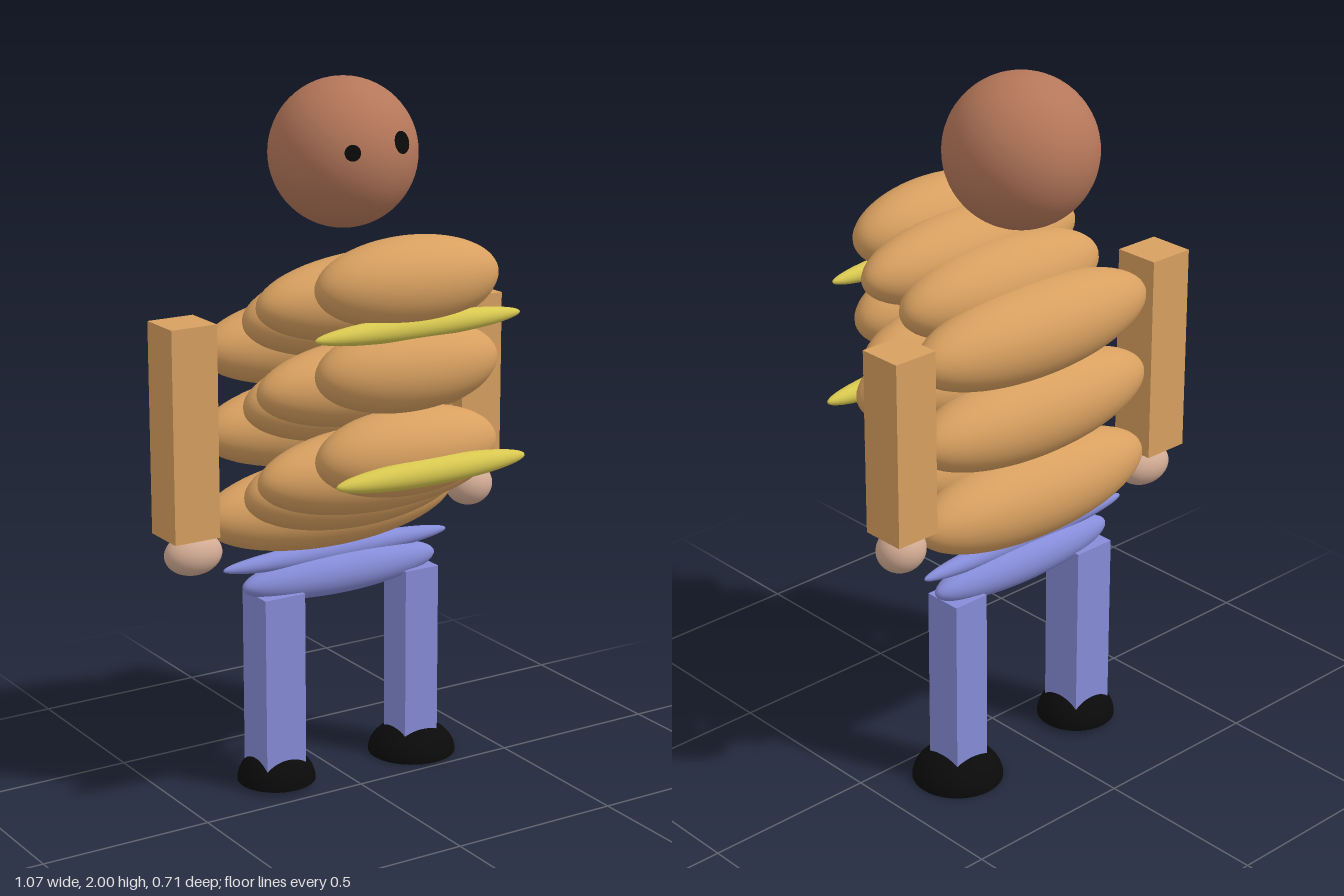
import * as THREE from 'three';

export function createModel() {
  const model = new THREE.Group();
  const mat = (name, color) => {
    const m = new THREE.MeshStandardMaterial({ color });
    m.name = name;
    return m;
  };
  const tan = mat('tan', 0xd8a060);
  const brown = mat('brown', 0xb5775a);
  const yellow = mat('yellow', 0xd8c850);
  const blue = mat('blue', 0x868cd8);
  const skin = mat('paleSkin', 0xd2ab94);
  const black = mat('black', 0x0a0a0a);
  const Z = -0.147; // plane shared by head, limbs and hips

  const add = (name, geometry, material, x, y, z) => {
    const mesh = new THREE.Mesh(geometry, material);
    mesh.name = name;
    mesh.position.set(x, y, z);
    model.add(mesh);
    return mesh;
  };
  const ellipsoid = (name, material, x, y, z, rx, ry, rz = ry) =>
    add(name, new THREE.SphereGeometry(1, 48, 32).scale(rx, ry, rz), material, x, y, z);
  const box = (name, material, x0, x1, y0, y1, depth) =>
    add(name, new THREE.BoxGeometry(x1 - x0, y1 - y0, depth), material, (x0 + x1) / 2, (y0 + y1) / 2, Z);

  // Head with two thin eye caps following its surface
  const head = { x: 0.035, y: 1.794, r: 0.206 };
  ellipsoid('head', brown, head.x, head.y, Z, head.r, head.r);
  for (const [name, dx, dy, size] of [['rightEye', -0.085, 0.03, 0.022], ['leftEye', 0.068, 0.046, 0.031]]) {
    const cap = new THREE.SphereGeometry(head.r + 0.002, 20, 6, 0, Math.PI * 2, 0, size / head.r);
    const eye = add(name, cap, black, head.x, head.y, Z);
    const dir = new THREE.Vector3(dx, dy, Math.sqrt(head.r ** 2 - dx * dx - dy * dy)).normalize();
    eye.quaternion.setFromUnitVectors(new THREE.Vector3(0, 1, 0), dir);
  }

  // Torso: three tiers of four rolls, each tier stepping down toward the back
  const columns = [
    { x: 0.018, z: 0.203, rx: 0.28, r: 0.121, y: [1.502, 1.27, 1.037] },
    { x: 0.004, z: 0.08, rx: 0.374, r: 0.122, y: [1.447, 1.212, 0.965] },
    { x: 0.004, z: -0.04, rx: 0.346, r: 0.125, y: [1.383, 1.145, 0.89] },
    { x: -0.002, z: -0.16, rx: 0.408, r: 0.13, y: [1.287, 1.053, 0.808] },
  ];
  for (const c of columns)
    for (const y of c.y) ellipsoid('torsoRoll', tan, c.x, y, c.z, c.rx, c.r);

  // Yellow bands across the chest
  ellipsoid('upperBand', yellow, 0.022, 1.39, 0.255, 0.323, 0.034);
  ellipsoid('lowerBand', yellow, 0.024, 1.007, 0.317, 0.3, 0.038);

  // Hips
  ellipsoid('waist', blue, 0.013, 0.662, Z, 0.37, 0.033);
  ellipsoid('hips', blue, 0.023, 0.6, Z, 0.318, 0.066);

  // Arms and hands
  box('rightArm', tan, -0.54, -0.402, 0.786, 1.381, 0.134);
  box('leftArm', tan, 0.392, 0.525, 0.833, 1.357, 0.13);
  ellipsoid('rightHand', skin, -0.45, 0.73, Z, 0.085, 0.06);
  ellipsoid('leftHand', skin, 0.463, 0.785, Z, 0.071, 0.063);

  // Legs
  box('rightLeg', blue, -0.26, -0.132, 0.04, 0.574, 0.128);
  box('leftLeg', blue, 0.209, 0.32, 0.04, 0.574, 0.114);

  // Feet: flat-bottomed domes
  const foot = (name, x, y, r, height) => {
    const dome = new THREE.SphereGeometry(1, 40, 14, 0, Math.PI * 2, 0, Math.PI / 2);
    add(name, dome.scale(r, height, r), black, x, y, Z);
    add(name + 'Sole', new THREE.CircleGeometry(r, 40).rotateX(Math.PI / 2), black, x, y, Z);
  };
  foot('rightFoot', -0.193, 0.012, 0.112, 0.091);
  foot('leftFoot', 0.268, 0, 0.128, 0.088);

  return model;
}
